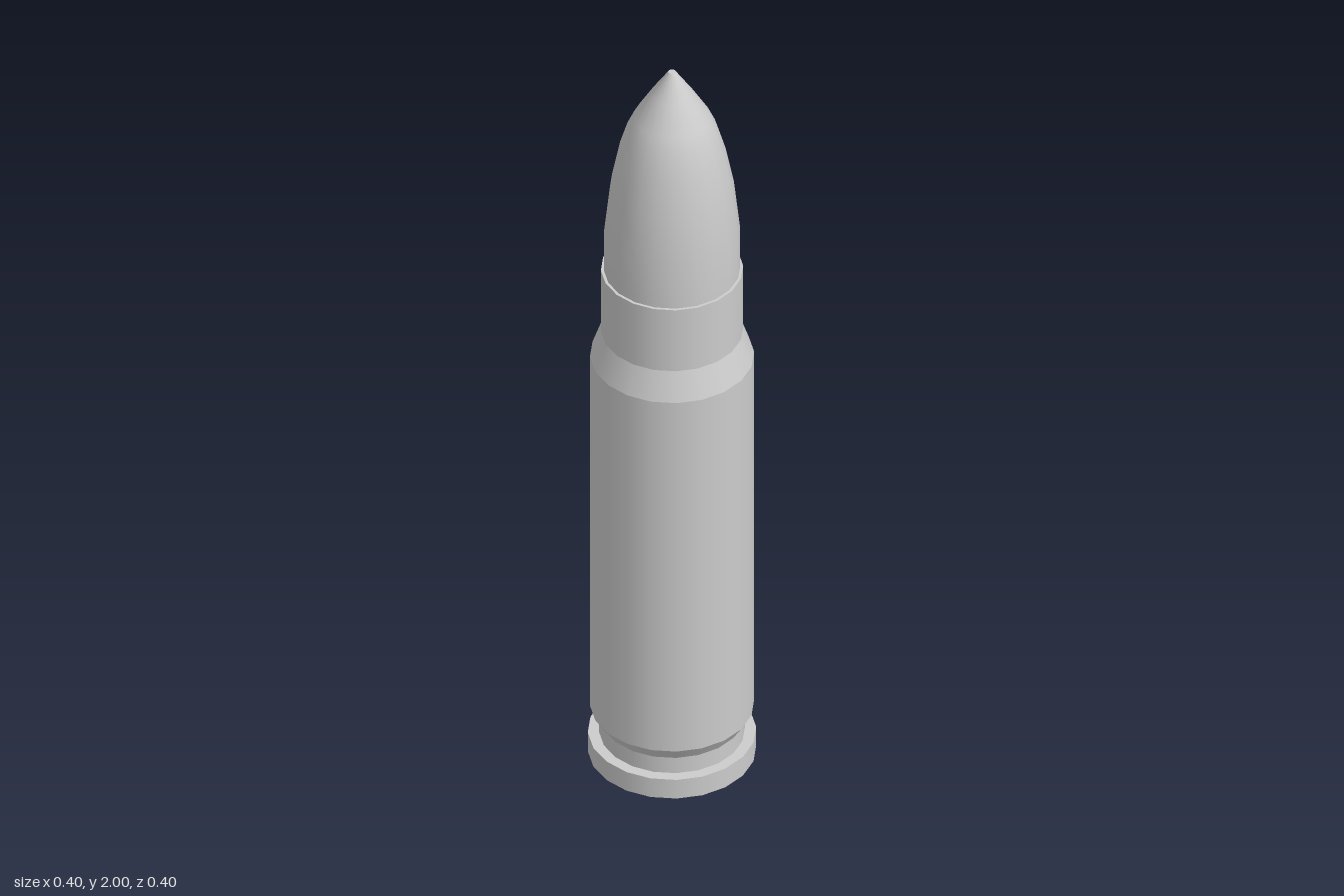
import * as THREE from 'three';

const SIDES = 20;
const material = new THREE.MeshStandardMaterial({ color: 0xcccccc });

// Smooth turned surface through [radius, height] points, bottom to top
function turned(name, points) {
  const profile = points.map(([r, y]) => new THREE.Vector2(r, y));
  const mesh = new THREE.Mesh(new THREE.LatheGeometry(profile, SIDES), material);
  mesh.name = name;
  return mesh;
}

// Turned part whose profile corners all stay sharp: one band per segment
function turnedSharp(name, points) {
  const group = new THREE.Group();
  group.name = name;
  for (let i = 1; i < points.length; i++) {
    group.add(turned(name + 'Band' + i, [points[i - 1], points[i]]));
  }
  return group;
}

export function createModel() {
  const model = new THREE.Group();
  model.name = 'cartridge';

  // Base disc with flat underside and top ledge
  model.add(turnedSharp('rim', [[0, 0], [0.2, 0], [0.2, 0.055], [0.173, 0.055]]));

  // Recessed groove and the bevel opening out to the body
  model.add(turnedSharp('groove', [[0.173, 0.055], [0.173, 0.1], [0.195, 0.135]]));

  // Straight body, sloping shoulder, neck and mouth ledge
  model.add(turnedSharp('casing', [
    [0.195, 0.135], [0.195, 1.165], [0.169, 1.24], [0.169, 1.42], [0.162, 1.42],
  ]));

  // Rounded nose narrowing to a small flat tip
  model.add(turned('nose', [
    [0.162, 1.42], [0.161, 1.54], [0.147, 1.67], [0.127, 1.77],
    [0.109, 1.83], [0.091, 1.87], [0.052, 1.935], [0.009, 2],
  ]));
  model.add(turned('tip', [[0.009, 2], [0, 2]]));

  return model;
}
